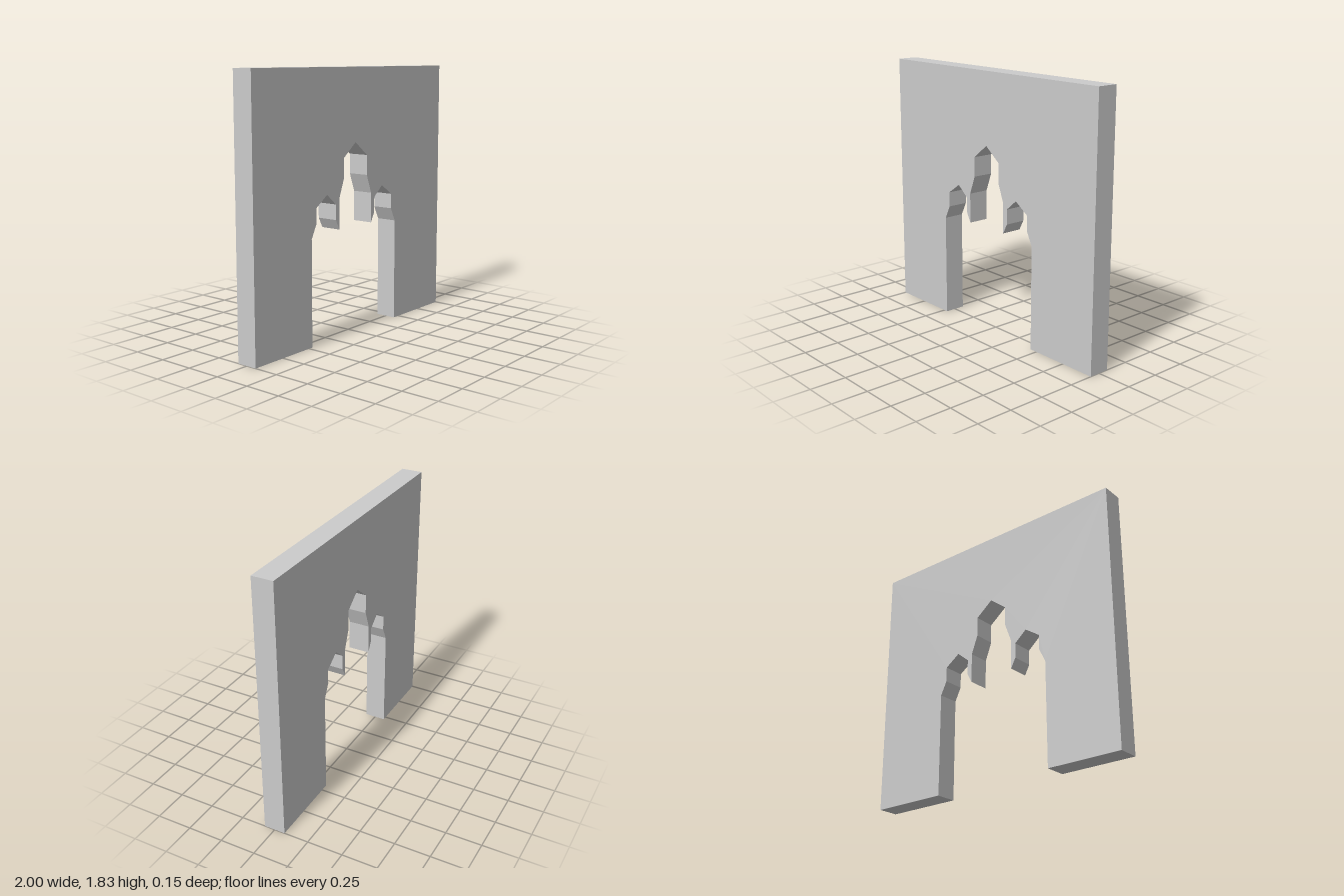
import * as THREE from 'three';

const HEIGHT = 1.83, DEPTH = 0.15;
const ARCH_X = -0.012; // the opening sits slightly off the wall's centre

// Half of the three-peaked opening, from the jamb foot to the central peak:
// distance from the opening's axis, height
const HALF_ARCH = [
  [0.456, 0], [0.456, 0.725],
  [0.409, 0.82], [0.409, 0.925], [0.3, 1.0], [0.211, 0.925], [0.211, 0.82], // side peak
  [0.174, 0.75], [0.174, 0.96],                                             // hanging point
  [0.125, 1.09], [0.125, 1.228], [0, 1.325],                                // central peak
];

export function createModel() {
  const group = new THREE.Group();
  group.name = 'archedWall';

  // Wall outline, with the opening mirrored about its axis
  const rightHalf = HALF_ARCH.map(([d, y]) => new THREE.Vector2(ARCH_X + d, y));
  const leftHalf = HALF_ARCH.slice(0, -1).map(([d, y]) => new THREE.Vector2(ARCH_X - d, y));
  const outline = new THREE.Shape([
    new THREE.Vector2(1, 0),
    new THREE.Vector2(1, HEIGHT),
    new THREE.Vector2(-1, HEIGHT),
    new THREE.Vector2(-1, 0),
    ...leftHalf,
    ...rightHalf.reverse(),
  ]);

  // Solid wall panel
  const geometry = new THREE.ExtrudeGeometry(outline, { depth: DEPTH, bevelEnabled: false });
  geometry.translate(0, 0, -DEPTH / 2);
  const wall = new THREE.Mesh(
    geometry,
    new THREE.MeshStandardMaterial({ color: 0xcccccc, flatShading: true }),
  );
  wall.name = 'wall';
  group.add(wall);

  return group;
}
